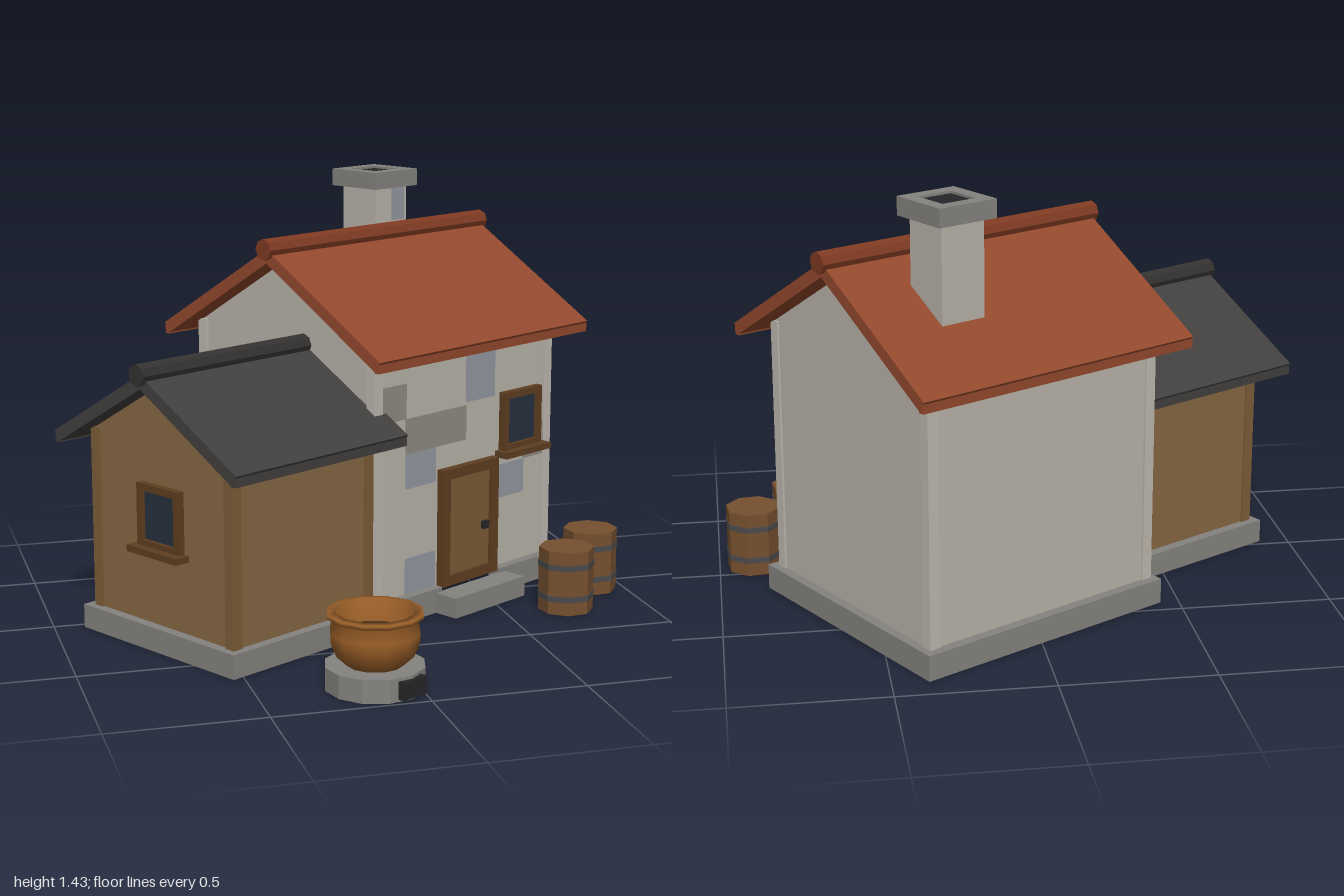
import * as THREE from 'three';

const COLORS = {
  wall: 0xb9b4aa, plinth: 0x85837e, post: 0xbeb9af, timber: 0x866743, timberPost: 0x7c5d38,
  tile: 0x93492d, ridgeTile: 0x7f3a22, slate: 0x42403e, slateRidge: 0x343230,
  frame: 0x5f3e20, door: 0x7d5c36, glass: 0x26313e, dark: 0x262628,
  blueStone: 0x9698a2, greyStone: 0x908c84, barrel: 0x76502f, band: 0x4c4a4a,
  clay: 0x9c6029, soil: 0x4a321c,
};
const mats = {};
const mat = (key) => (mats[key] ??= new THREE.MeshStandardMaterial({
  color: COLORS[key], flatShading: key !== 'clay',
}));

function add(parent, name, geo, key, x = 0, y = 0, z = 0) {
  const m = new THREE.Mesh(geo, mat(key));
  m.name = name;
  m.position.set(x, y, z);
  parent.add(m);
  return m;
}

// Box given by its extents on each axis
function box(parent, name, key, [x0, x1], [y0, y1], [z0, z1]) {
  return add(parent, name, new THREE.BoxGeometry(x1 - x0, y1 - y0, z1 - z0), key,
    (x0 + x1) / 2, (y0 + y1) / 2, (z0 + z1) / 2);
}

// Cross-section in the (z, y) plane swept along x
function sweepX(points, x0, x1) {
  const shape = new THREE.Shape(points.map(([s, y]) => new THREE.Vector2(s, y)));
  const geo = new THREE.ExtrudeGeometry(shape, { depth: x1 - x0, bevelEnabled: false });
  return geo.rotateY(Math.PI / 2).translate(x0, 0, 0);
}

// Rectangular frame in the xy plane
function frameGeo(w, h, t, depth) {
  const rect = (C, a, b) => new C([[-a, -b], [a, -b], [a, b], [-a, b]].map((p) => new THREE.Vector2(...p)));
  const shape = rect(THREE.Shape, w / 2, h / 2);
  shape.holes.push(rect(THREE.Path, w / 2 - t, h / 2 - t));
  return new THREE.ExtrudeGeometry(shape, { depth, bevelEnabled: false });
}

// Gabled walls with a chevron roof, eave boards and a round ridge
function gabledBlock(parent, o) {
  const slope = (o.apex - o.eave) / o.roofHalf;
  const len = Math.hypot(1, slope);
  const t = 0.04;
  const under = o.apex - t * len;
  const [nx, ny] = [t * slope / len, t / len];
  const wallTop = under - o.wallHalf * slope;
  const g = new THREE.Group();
  g.name = o.name;
  g.position.z = o.z;
  parent.add(g);
  add(g, 'walls', sweepX([[-o.wallHalf, 0.065], [o.wallHalf, 0.065], [o.wallHalf, wallTop],
    [0, under], [-o.wallHalf, wallTop]], ...o.wallX), o.wallKey);
  add(g, 'roof', sweepX([[0, o.apex], [-o.roofHalf, o.eave], [-o.roofHalf + nx, o.eave - ny],
    [0, under], [o.roofHalf - nx, o.eave - ny], [o.roofHalf, o.eave]], ...o.roofX), o.roofKey);
  const [r0, r1] = [o.roofX[0] - 0.015, o.roofX[1] + 0.015];
  add(g, 'ridge', new THREE.CylinderGeometry(0.036, 0.036, r1 - r0, 8).rotateZ(Math.PI / 2),
    o.ridgeKey, (r0 + r1) / 2, o.apex, 0);
  for (const s of [-1, 1]) {
    const zEave = s * (o.roofHalf - 0.014);
    box(g, 'eaveBoard', o.roofKey, o.roofX, [o.eave - 0.037, o.eave - 0.008], [zEave - 0.01, zEave + 0.01]);
    for (const x of o.postX) {
      const z = s * (o.wallHalf - 0.012);
      box(g, 'cornerPost', o.postKey, [x - 0.019, x + 0.019], [0.065, wallTop + 0.005], [z - 0.019, z + 0.019]);
    }
  }
}

// Hollow footing made of strips: left, right and back, with the front cut at a doorway
function makeFooting(parent, name, [x0, x1], [z0, z1], top, fronts, ends) {
  const g = new THREE.Group();
  g.name = name;
  parent.add(g);
  const t = 0.05;
  for (const x of ends) box(g, 'footingEnd', 'plinth', [x, x + t], [0, top], [z0, z1]);
  box(g, 'footingBack', 'plinth', [x0, x1], [0, top], [z0, z0 + t]);
  for (const span of fronts) box(g, 'footingFront', 'plinth', span, [0, top], [z1 - t, z1]);
}

// Window facing +z, centred on its own origin
function makeWindow(parent, x, y, z, turn = 0) {
  const g = new THREE.Group();
  g.name = 'window';
  g.position.set(x, y, z);
  g.rotation.y = turn;
  parent.add(g);
  add(g, 'windowFrame', frameGeo(0.2, 0.21, 0.024, 0.026), 'frame');
  box(g, 'windowPane', 'glass', [-0.08, 0.08], [-0.085, 0.085], [-0.01, 0.012]);
  box(g, 'windowSill', 'frame', [-0.12, 0.12], [-0.122, -0.1], [-0.01, 0.055]);
}

function makeChimney(parent) {
  const g = new THREE.Group();
  g.name = 'chimney';
  g.position.set(0.215, 0, -0.216);
  parent.add(g);
  box(g, 'shaft', 'wall', [-0.08, 0.08], [0.98, 1.38], [-0.08, 0.08]);
  add(g, 'cap', frameGeo(0.215, 0.215, 0.045, 0.06).rotateX(-Math.PI / 2), 'plinth', 0, 1.37, 0);
  box(g, 'flue', 'dark', [-0.066, 0.066], [1.37, 1.422], [-0.066, 0.066]);
  box(g, 'stone', 'blueStone', [0.005, 0.065], [1.25, 1.37], [0.07, 0.084]);
}

function makeBarrel(parent, x, z) {
  const g = new THREE.Group();
  g.name = 'barrel';
  g.position.set(x, 0, z);
  g.rotation.y = Math.PI / 6;
  parent.add(g);
  add(g, 'staves', new THREE.CylinderGeometry(0.094, 0.094, 0.22, 8), 'barrel', 0, 0.11, 0);
  for (const y of [0.055, 0.165]) {
    add(g, 'hoop', new THREE.CylinderGeometry(0.0965, 0.0965, 0.02, 8), 'band', 0, y, 0);
  }
}

function makePot(parent) {
  const g = new THREE.Group();
  g.name = 'cauldron';
  g.position.set(-0.13, 0, 0.83);
  g.rotation.y = Math.PI / 6;
  parent.add(g);
  add(g, 'hearth', new THREE.CylinderGeometry(0.158, 0.158, 0.075, 12), 'plinth', 0, 0.0375, 0);
  box(g, 'hearthOpening', 'dark', [-0.05, 0.05], [0.008, 0.065], [0.1, 0.168]);
  const profile = [[0, 0.075], [0.09, 0.075], [0.122, 0.105], [0.14, 0.15], [0.142, 0.18], [0.135, 0.222], [0.152, 0.228],
    [0.152, 0.242], [0.125, 0.244], [0.122, 0.17], [0.1, 0.13], [0, 0.13]];
  add(g, 'bowl', new THREE.LatheGeometry(profile.map((p) => new THREE.Vector2(...p)), 12), 'clay');
  add(g, 'contents', new THREE.CylinderGeometry(0.122, 0.115, 0.01, 12), 'soil', 0, 0.165, 0);
}

export function createModel() {
  const model = new THREE.Group();
  model.name = 'cottage';
  const house = new THREE.Group();
  house.name = 'house';
  house.position.set(0.2, 0, -0.285);
  house.rotation.y = Math.PI / 6;
  model.add(house);

  // main house and lower side wing
  gabledBlock(house, {
    name: 'mainHouse', z: 0, wallHalf: 0.42, wallX: [-0.443, 0.443], roofHalf: 0.52, roofX: [-0.53, 0.53],
    apex: 1.235, eave: 0.925, postX: [-0.436, 0.431],
    wallKey: 'wall', roofKey: 'tile', ridgeKey: 'ridgeTile', postKey: 'post',
  });
  gabledBlock(house, {
    name: 'sideWing', z: 0.087, wallHalf: 0.332, wallX: [-1.076, -0.44], roofHalf: 0.436, roofX: [-1.157, -0.4],
    apex: 0.917, eave: 0.67, postX: [-1.066, -0.479],
    wallKey: 'timber', roofKey: 'slate', ridgeKey: 'slateRidge', postKey: 'timberPost',
  });

  // stone footing and door step
  makeFooting(house, 'mainFooting', [-0.475, 0.475], [-0.455, 0.455], 0.085,
    [[-0.475, -0.15], [0.15, 0.475]], [-0.475, 0.425]);
  makeFooting(house, 'wingFooting', [-1.11, -0.47], [-0.28, 0.453], 0.08, [[-1.11, -0.47]], [-1.11]);
  box(house, 'doorStep', 'plinth', [-0.18, 0.18], [0, 0.07], [0.45, 0.545]);

  // tinted stones on the front wall: x range, y range, colour
  const stones = [
    [-0.42, -0.3, 0.69, 0.81, 'greyStone'], [0, 0.147, 0.7, 0.89, 'blueStone'],
    [-0.3, 0, 0.57, 0.69, 'greyStone'], [-0.3, -0.153, 0.45, 0.57, 'blueStone'],
    [0.158, 0.308, 0.33, 0.45, 'blueStone'], [-0.3, -0.153, 0.085, 0.21, 'blueStone'],
    [0.308, 0.412, 0.45, 0.57, 'greyStone'],
  ];
  for (const [x0, x1, y0, y1, key] of stones) box(house, 'wallStone', key, [x0, x1], [y0, y1], [0.41, 0.424]);

  // door
  add(house, 'doorFrame', frameGeo(0.285, 0.41, 0.035, 0.035), 'frame', 0.003, 0.283, 0.415);
  box(house, 'door', 'door', [-0.11, 0.114], [0.085, 0.455], [0.41, 0.436]);
  box(house, 'doorHandle', 'dark', [0.07, 0.1], [0.243, 0.27], [0.43, 0.448]);

  makeWindow(house, 0.277, 0.602, 0.42);
  makeWindow(house, -1.075, 0.442, 0.092, -Math.PI / 2);
  makeChimney(house);

  makeBarrel(model, 0.88, 0.07);
  makeBarrel(model, 0.715, 0.265);
  makePot(model);
  return model;
}
